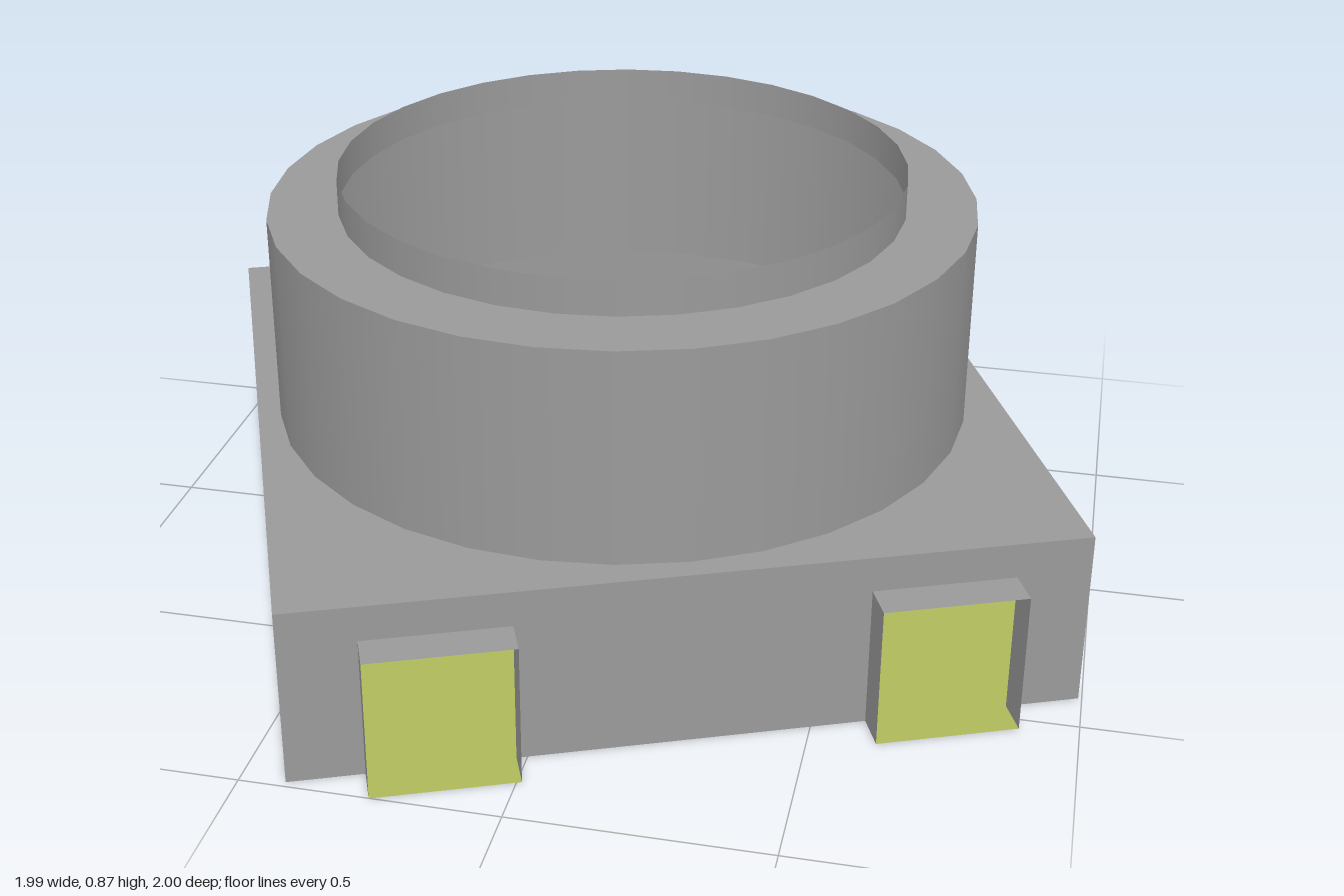
import * as THREE from 'three';

const grey = new THREE.MeshStandardMaterial({ color: 0x9a9a9a, side: THREE.DoubleSide });
const olive = new THREE.MeshStandardMaterial({ color: 0xaeba5a, side: THREE.DoubleSide });

const HALF = 0.761, BASE_H = 0.362, SEGMENTS = 32;
const R_BODY = 0.715, R_LIP = 0.573, Y_BODY = 0.796, Y_LIP = 0.868;
const TAB_IN = 0.335, TAB_OUT = 0.615, TAB_H = 0.29, TAB_D = 0.075;

function add(parent, name, geometry, material = grey) {
  const mesh = new THREE.Mesh(geometry, material);
  mesh.name = name;
  parent.add(mesh);
  return mesh;
}

const outline = (points) => new THREE.Shape(points.map(([x, y]) => new THREE.Vector2(x, y)));

// Flat horizontal sheet from a shape drawn in (x, -z), facing up
const sheet = (shape, y) => new THREE.ShapeGeometry(shape, SEGMENTS).rotateX(-Math.PI / 2).translate(0, y, 0);

// Open vertical tube wall
const tube = (r, y0, y1) =>
  new THREE.CylinderGeometry(r, r, y1 - y0, SEGMENTS, 1, true).translate(0, (y0 + y1) / 2, 0);

export function createModel() {
  const model = new THREE.Group();
  model.name = 'hollowHousing';
  model.position.set(-0.001, 0, -0.007);

  // Square hollow base, turned about the vertical
  const base = new THREE.Group();
  base.name = 'base';
  base.rotation.y = Math.PI / 8;
  model.add(base);

  // Top plate with round opening
  const plate = outline([[-HALF, -HALF], [HALF, -HALF], [HALF, HALF], [-HALF, HALF]]);
  const opening = [];
  for (let i = 0; i < SEGMENTS; i++) {
    const a = (i / SEGMENTS) * Math.PI * 2;
    opening.push(new THREE.Vector2(Math.cos(a) * R_BODY, Math.sin(a) * R_BODY));
  }
  plate.holes.push(new THREE.Path(opening));
  add(base, 'basePlate', sheet(plate, BASE_H));

  // Side and back walls
  ['rightSideWall', 'backWall', 'leftSideWall'].forEach((name, i) => {
    const wall = new THREE.PlaneGeometry(2 * HALF, BASE_H).translate(0, BASE_H / 2, HALF);
    add(base, name, wall.rotateY(-(i + 1) * Math.PI / 2));
  });

  // Front wall, notched where the tabs open into the base
  const front = outline([
    [-HALF, 0], [-TAB_OUT, 0], [-TAB_OUT, TAB_H], [-TAB_IN, TAB_H], [-TAB_IN, 0],
    [TAB_IN, 0], [TAB_IN, TAB_H], [TAB_OUT, TAB_H], [TAB_OUT, 0],
    [HALF, 0], [HALF, BASE_H], [-HALF, BASE_H],
  ]);
  add(base, 'frontWall', new THREE.ShapeGeometry(front).translate(0, 0, HALF));

  // Coloured floor, reaching out under both tabs
  const f = -HALF, t = -HALF - TAB_D;
  const floor = outline([
    [-HALF, f], [-TAB_OUT, f], [-TAB_OUT, t], [-TAB_IN, t], [-TAB_IN, f],
    [TAB_IN, f], [TAB_IN, t], [TAB_OUT, t], [TAB_OUT, f],
    [HALF, f], [HALF, HALF], [-HALF, HALF],
  ]);
  add(base, 'floor', sheet(floor, 0), olive);

  // Open-fronted tabs: a roof and two cheeks each
  const tabW = TAB_OUT - TAB_IN;
  for (const side of [-1, 1]) {
    const tab = new THREE.Group();
    tab.name = side < 0 ? 'rightTab' : 'leftTab';
    tab.position.set(side * (TAB_IN + TAB_OUT) / 2, 0, HALF + TAB_D / 2);
    base.add(tab);
    add(tab, 'tabRoof', new THREE.PlaneGeometry(tabW, TAB_D).rotateX(-Math.PI / 2).translate(0, TAB_H, 0));
    for (const s of [-1, 1]) {
      const cheek = new THREE.PlaneGeometry(TAB_D, TAB_H).rotateY(s * Math.PI / 2);
      add(tab, 'tabCheek', cheek.translate(s * tabW / 2, TAB_H / 2, 0));
    }
  }

  // Thin round body with a stepped collar, open at the top
  add(model, 'roundBody', tube(R_BODY, BASE_H, Y_BODY));
  const ring = new THREE.RingGeometry(R_LIP, R_BODY, SEGMENTS).rotateX(-Math.PI / 2);
  add(model, 'shoulder', ring.translate(0, Y_BODY, 0));
  add(model, 'collar', tube(R_LIP, Y_BODY, Y_LIP));

  return model;
}
